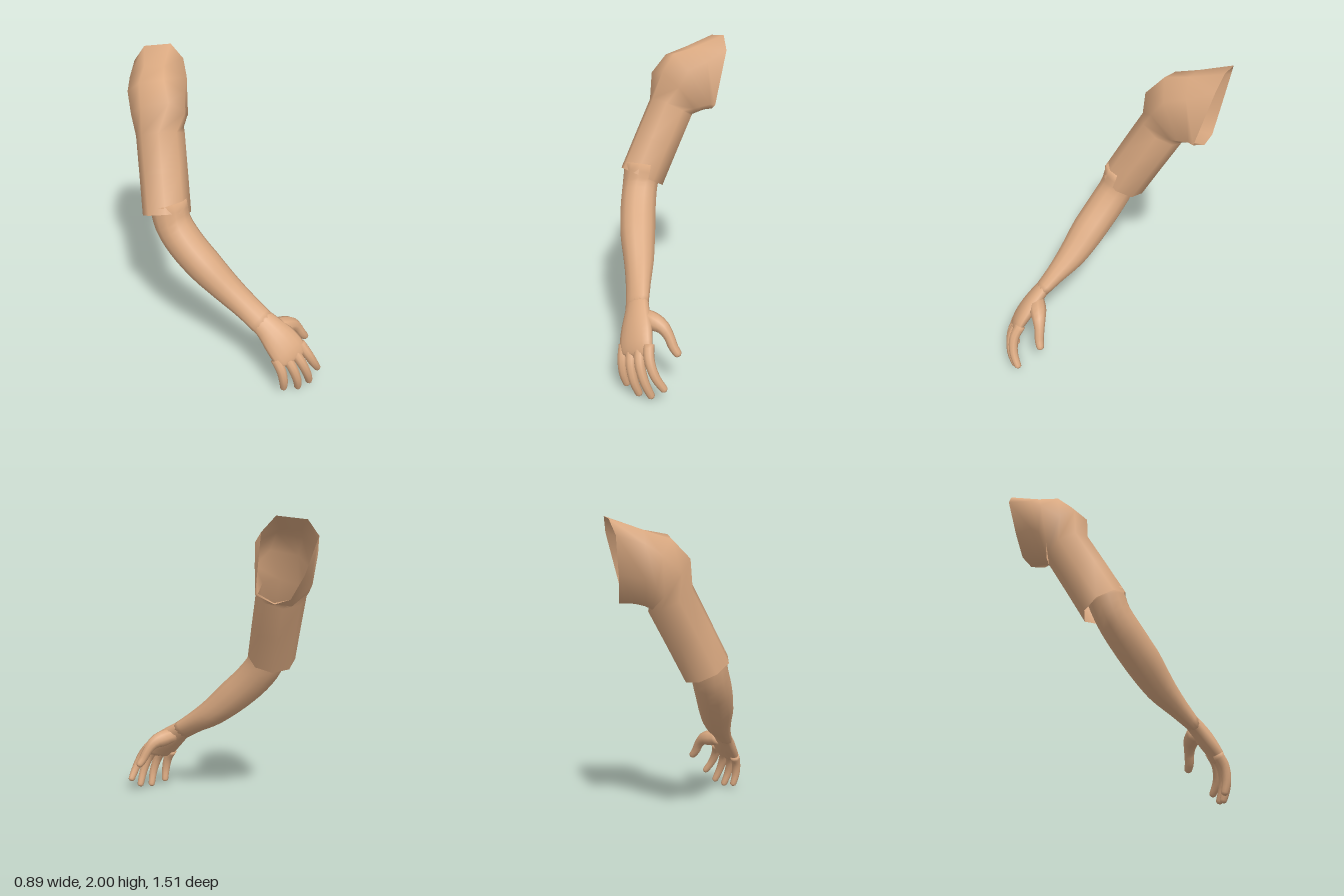
import * as THREE from 'three';

const v3 = (a) => new THREE.Vector3(a[0], a[1], a[2]);

// Skin a list of equal-length rings of points; optionally close both ends.
function skin(rings, capped) {
  const n = rings[0].length, pos = [], idx = [];
  rings.forEach((r) => r.forEach((p) => pos.push(p.x, p.y, p.z)));
  for (let i = 0; i < rings.length - 1; i++) {
    for (let j = 0; j < n; j++) {
      const a = i * n + j, b = i * n + (j + 1) % n;
      idx.push(a, b, b + n, a, b + n, a + n);
    }
  }
  if (capped) {
    [0, rings.length - 1].forEach((i) => {
      const c = rings[i].reduce((s, p) => s.add(p), new THREE.Vector3()).divideScalar(n);
      const k = pos.length / 3;
      pos.push(c.x, c.y, c.z);
      for (let j = 0; j < n; j++) {
        const a = i * n + j, b = i * n + (j + 1) % n;
        if (i === 0) idx.push(k, b, a); else idx.push(k, a, b);
      }
    });
  }
  const g = new THREE.BufferGeometry();
  g.setAttribute('position', new THREE.Float32BufferAttribute(pos, 3));
  g.setIndex(idx);
  g.computeVertexNormals();
  return g;
}

// Elliptical ring around c, facing along dir, with its wide axis near wide.
function ring(c, dir, wide, w, t, n, phase = 0) {
  const d = dir.clone().normalize();
  const u = wide.clone().addScaledVector(d, -wide.dot(d)).normalize();
  const v = d.clone().cross(u);
  return Array.from({ length: n }, (_, k) => {
    const a = (k + phase) / n * Math.PI * 2;
    return c.clone().addScaledVector(u, w * Math.cos(a)).addScaledVector(v, t * Math.sin(a));
  });
}

// Smooth limb through stations [x, y, z, halfWidth, halfThickness].
function limb(stations, wide0, wide1, steps, sides) {
  const path = new THREE.CatmullRomCurve3(stations.map(v3));
  const size = new THREE.CatmullRomCurve3(stations.map((s) => new THREE.Vector3(s[3], s[4] ?? s[3], 0)));
  const rings = [];
  for (let i = 0; i <= steps; i++) {
    const u = i / steps, s = size.getPoint(u);
    rings.push(ring(path.getPoint(u), path.getTangent(u), v3(wide0).lerp(v3(wide1), u), s.x, s.y, sides));
  }
  return skin(rings, true);
}

export function createModel() {
  const group = new THREE.Group();
  const skinTone = new THREE.MeshStandardMaterial({ color: 0xdaa981, side: THREE.DoubleSide });
  skinTone.name = 'warm tan';
  const add = (name, geometry) => {
    const m = new THREE.Mesh(geometry, skinTone);
    m.name = name;
    group.add(m);
  };

  // Sleeve: open shoulder hole, bent shoulder cap, straight tube to the hem
  const shoulder = [
    [[0, 2, -.66], [-.15, 1.98, -.75], [-.22, 1.89, -.76], [-.17, 1.67, -.70],
      [-.11, 1.53, -.65], [-.04, 1.5, -.59], [.04, 1.55, -.5], [.06, 1.91, -.6]],
    [[-.13, 1.925, -.48], [-.23, 1.92, -.56], [-.31, 1.84, -.62], [-.28, 1.65, -.60],
      [-.18, 1.52, -.57], [-.07, 1.5, -.53], [.02, 1.56, -.47], [.01, 1.85, -.44]],
    [[-.19, 1.9, -.34], [-.32, 1.87, -.43], [-.36, 1.78, -.54], [-.32, 1.6, -.55],
      [-.2, 1.5, -.52], [-.09, 1.49, -.48], [-.02, 1.55, -.41], [-.06, 1.8, -.32]],
    [[-.21, 1.79, -.23], [-.36, 1.76, -.32], [-.39, 1.68, -.42], [-.33, 1.55, -.5],
      [-.22, 1.47, -.49], [-.11, 1.48, -.45], [-.05, 1.54, -.37], [-.09, 1.7, -.25]],
  ].map((r) => r.map(v3));
  const armDir = v3([-.08, -.45, .24]), outward = v3([-.6, 0, .6]);
  const tube = [[-.225, 1.53, -.35], [-.262, 1.31, -.23], [-.3, 1.085, -.11]]
    .map((c) => ring(v3(c), armDir, outward, .157, .157, 8, -.5));
  add('sleeve', skin([...shoulder, ...tube], false));

  // Forearm: from inside the sleeve, round the elbow and down to the wrist
  const across = [.86, .5, -.1], knuckleLine = [.93, .33, -.1];
  add('forearm', limb([
    [-.29, 1.17, -.11, .125, .125],
    [-.28, 1.04, -.06, .122, .118],
    [-.235, .92, .025, .122, .12],
    [-.155, .79, .14, .118, .118],
    [-.055, .655, .265, .1, .098],
    [.03, .555, .39, .087, .068],
    [.1, .47, .5, .085, .048],
  ], across, across, 18, 12));

  // Palm: flattens from the wrist out to the knuckles
  add('palm', limb([
    [.08, .495, .47, .08, .048],
    [.115, .455, .52, .09, .053],
    [.165, .38, .595, .115, .056],
    [.2, .315, .65, .122, .048],
    [.222, .272, .675, .112, .036],
    [.228, .255, .682, .085, .018],
  ], across, knuckleLine, 14, 14));

  // Fingers: base, knuckle, middle and tip of each, with a rounded end
  const fingers = {
    littleFinger: [[.11, .28, .65], [.128, .21, .692], [.142, .12, .705], [.156, .04, .69]],
    ringFinger: [[.175, .29, .66], [.203, .215, .71], [.235, .11, .725], [.26, .015, .703]],
    middleFinger: [[.235, .31, .66], [.27, .235, .71], [.315, .125, .722], [.35, .028, .7]],
    indexFinger: [[.29, .34, .645], [.328, .27, .69], [.378, .175, .7], [.428, .092, .675]],
  };
  const radii = [.036, .033, .029, .023];
  const digit = (points, r) => {
    const s = points.map((p, i) => [...p, r[i]]);
    const last = v3(points.at(-1));
    const tip = last.clone().add(last.clone().sub(v3(points.at(-2))).setLength(.012));
    return limb([...s, [tip.x, tip.y, tip.z, .01]], knuckleLine, knuckleLine, 14, 9);
  };
  for (const [name, points] of Object.entries(fingers)) add(name, digit(points, radii));

  // Thumb: fleshy base leaving the wrist, bending down to the tip
  add('thumb', digit([
    [.15, .44, .525], [.23, .425, .52], [.3, .405, .515], [.35, .355, .515], [.385, .295, .52], [.42, .25, .515],
  ], [.05, .058, .046, .034, .031, .025]));

  return group;
}
